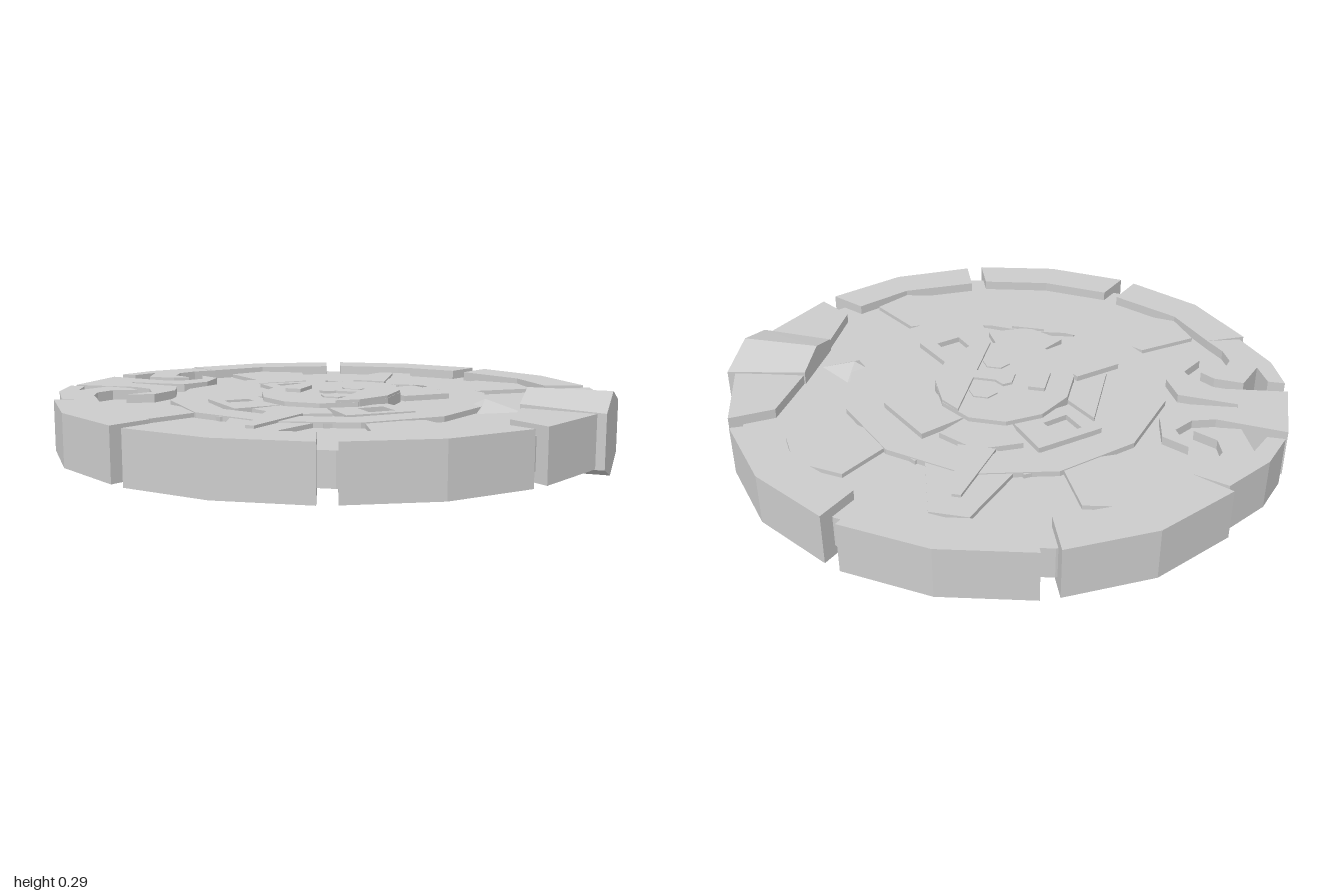
import * as THREE from 'three';
import { ConvexGeometry } from 'three/addons/geometries/ConvexGeometry.js';

const MID = 0.143; // height of the disc's mid-plane; both faces carry the same relief

export function createModel() {
  const model = new THREE.Group();
  const stone = new THREE.MeshStandardMaterial({ color: 0xcccccc, flatShading: true });

  const add = (name, geometry) => {
    const mesh = new THREE.Mesh(geometry, stone);
    mesh.name = name;
    mesh.position.y = MID;
    model.add(mesh);
  };

  // Prism with an [x, z] outline, reaching `half` above and below the mid-plane
  const prism = (name, points, half, hole) => {
    const toVec = ([x, z]) => new THREE.Vector2(x, -z);
    const shape = new THREE.Shape(points.map(toVec));
    if (hole) shape.holes.push(new THREE.Path(hole.map(toVec)));
    const geometry = new THREE.ExtrudeGeometry(shape, { depth: half * 2, bevelEnabled: false });
    geometry.translate(0, 0, -half).rotateX(-Math.PI / 2);
    add(name, geometry);
  };
  const flip = (points, sx, sz) => points.map(([x, z]) => [x * sx, z * sz]);
  // Close a half outline by mirroring it over the x axis or the z axis
  const closeZ = (points) => [...points, ...flip(points, 1, -1).reverse()];
  const closeX = (points) => [...points, ...flip(points, -1, 1).reverse()];
  const ngon = (n, rx, rz = rx, cx = 0, cz = 0, turn = 0) =>
    Array.from({ length: n }, (_, i) => {
      const a = turn + (i / n) * Math.PI * 2;
      return [cx + rx * Math.cos(a), cz + rz * Math.sin(a)];
    });

  // Recessed plate behind all the relief
  prism('basePlate', closeZ([[0.9, 0.1], [0.88, 0.2], [0.82, 0.45], [0.62, 0.7], [0.34, 0.86],
    [0.1, 0.9], [-0.1, 0.9], [-0.34, 0.86], [-0.62, 0.7], [-0.8, 0.47], [-0.86, 0.3], [-0.83, 0.1]]), 0.055);
  prism('innerRing', ngon(12, 0.58), 0.074, ngon(12, 0.468));

  for (const sz of [1, -1]) {
    // Rim blocks, crown and star at the two ends of the z axis
    prism('rimEnd', flip(closeX([[0, 0.98], [0.308, 0.93], [0.255, 0.79], [0, 0.83]].slice(1, 3))
      .toSpliced(4, 0, [0, 0.98]).toSpliced(2, 0, [0, 0.83]), 1, sz), 0.09);
    prism('star', flip(closeX([[0.065, 0.79], [0.155, 0.51], [0.18, 0.54], [0.22, 0.515], [0.18, 0.44],
      [0.06, 0.425]]), 1, sz), 0.07);
    prism('starSpike', flip(closeX([[0.015, 0.7], [0.065, 0.43]]), 1, sz), 0.08);
    prism('crown', flip([[0, 0.44], [0.145, 0.37], [0.085, 0.265], [-0.085, 0.265], [-0.145, 0.37]], 1, sz), 0.075);

    // Diagonal rim blocks, petals and square frames
    for (const sx of [1, -1]) {
      prism('rimCorner', flip([[0.365, 0.905], [0.635, 0.755], [0.835, 0.515], [0.7, 0.45],
        [0.56, 0.63], [0.31, 0.76]], sx, sz), 0.09);
      prism('petal', flip([[0.385, 0.66], [0.28, 0.45], [0.46, 0.36], [0.64, 0.5], [0.56, 0.63]], sx, sz), 0.07);
      const frame = [[0.2, 0.39], [0.385, 0.225], [0.25, 0.1], [0.08, 0.25]];
      const hole = [[0.28, 0.315], [0.37, 0.225], [0.285, 0.135], [0.195, 0.225]]
        .map(([x, z]) => [0.25 + (x - 0.28) * 0.75, 0.235 + (z - 0.225) * 0.75]);
      prism('squareFrame', flip(frame, sx, sz), 0.075, flip(hole, sx, sz));
    }

    // Short rim blocks beside the ridged block
    prism('rimSide', flip([[0.865, 0.46], [0.97, 0.17], [0.72, 0.125], [0.73, 0.37]], 1, sz), 0.09);

    // Curled hooks on the opposite side
    prism('rimHook', flip([[-0.82, 0.49], [-0.94, 0.33], [-0.99, 0.185], [-0.93, 0.185], [-0.89, 0.28],
      [-0.845, 0.155], [-0.74, 0.165], [-0.69, 0.2], [-0.77, 0.24], [-0.79, 0.31], [-0.76, 0.38],
      [-0.7, 0.45]], 1, sz), 0.09);

    // Eyes
    prism('eye', ngon(6, 0.052, 0.046, 0.055, sz * 0.107), 0.096);
  }

  // Forked tongue with two curling horns
  prism('tongue', closeZ([[-1, 0.135], [-0.76, 0.105], [-0.68, 0.13], [-0.63, 0.2], [-0.68, 0.295],
    [-0.59, 0.25], [-0.57, 0.13], [-0.62, 0.03], [-0.83, 0.01]]), 0.086);
  prism('sideTrapezoid', closeZ([[-0.35, 0.16], [-0.24, 0.06]]), 0.07);

  // Ridged block with its pointer
  const corners = [];
  for (const [x, w, edge] of [[0.715, 0.13, 0.103], [1, 0.17, 0.092]]) {
    for (const s of [1, -1]) {
      corners.push(new THREE.Vector3(x, 0.143 * s, 0));
      for (const t of [1, -1]) corners.push(new THREE.Vector3(x, edge * s, w * t));
    }
  }
  add('ridgedBlock', new ConvexGeometry(corners));
  add('pointer', new ConvexGeometry([[0.48, 0.05, 0], [0.57, 0.05, 0.1], [0.57, 0.05, -0.1], [0.715, 0.05, 0],
    [0.57, 0.095, 0]].flatMap(([x, y, z]) => [new THREE.Vector3(x, y, z), new THREE.Vector3(x, -y, z)])));

  // Central face: disc, brow, nose and mouth
  prism('faceDisc', ngon(12, 0.25, 0.29, 0, 0, Math.PI / 12), 0.091);
  prism('brow', closeZ([[0.11, 0.25], [0.18, 0.2], [0.24, 0.075]]), 0.1);
  prism('nose', closeZ([[0.12, 0.027], [0.03, 0.027], [-0.005, 0.053], [-0.033, 0.033]]), 0.1);
  prism('mouth', closeZ([[-0.157, 0.056], [-0.097, 0.056]]), 0.104);

  return model;
}
